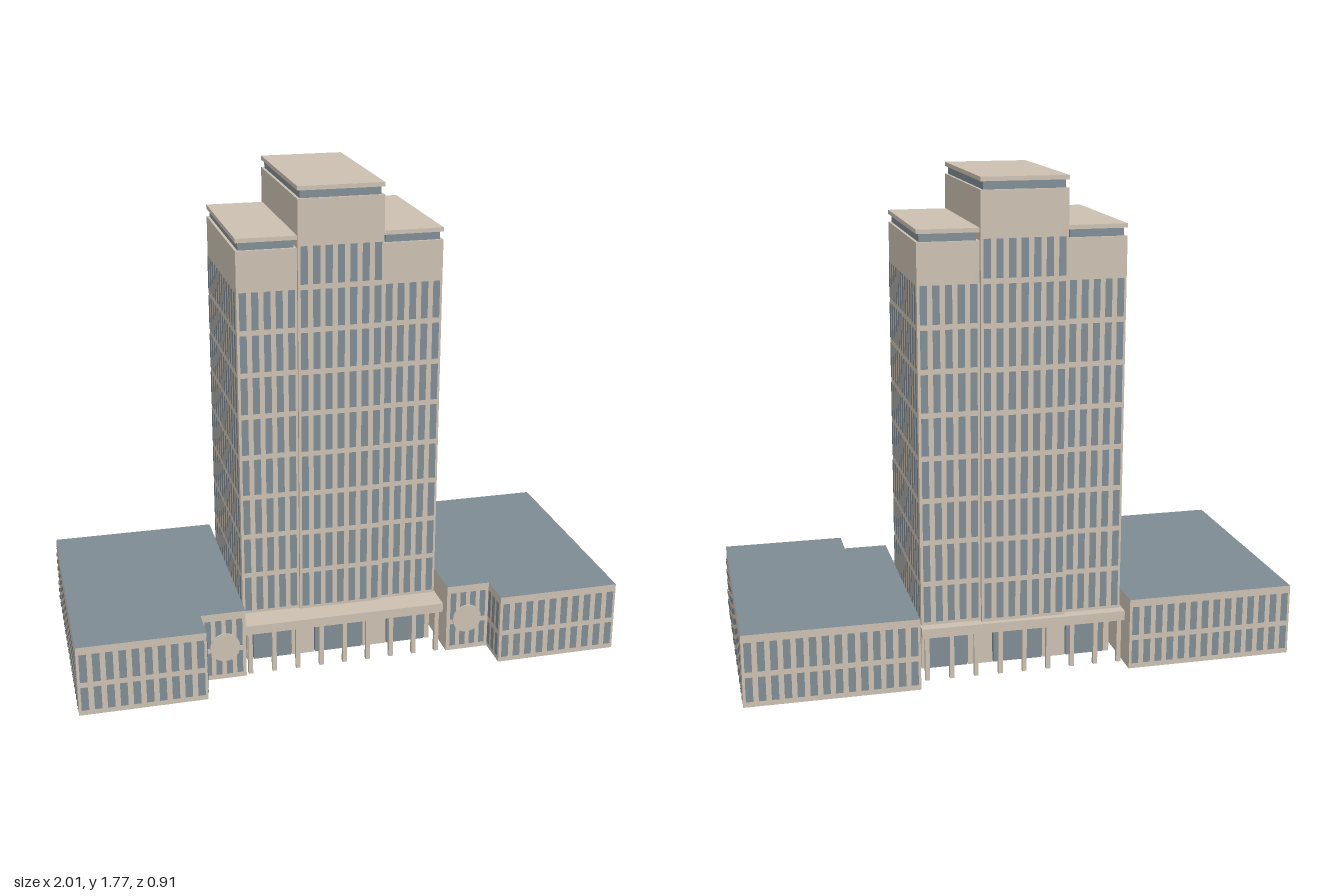
import * as THREE from 'three';
import { mergeGeometries } from 'three/addons/utils/BufferGeometryUtils.js';

const stone = new THREE.MeshStandardMaterial({ color: 0xcbc0b1, side: THREE.DoubleSide });
stone.name = 'warm stone';
const slate = new THREE.MeshStandardMaterial({ color: 0x7f8b94, side: THREE.DoubleSide });
slate.name = 'slate glass';

function add(parent, name, geometry, material) {
  const mesh = new THREE.Mesh(geometry, material);
  mesh.name = name;
  parent.add(mesh);
  return mesh;
}

// Box given by its extents
function block(parent, name, material, [x0, x1], [y0, y1], [z0, z1]) {
  const g = new THREE.BoxGeometry(x1 - x0, y1 - y0, z1 - z0);
  g.translate((x0 + x1) / 2, (y0 + y1) / 2, (z0 + z1) / 2);
  return add(parent, name, g, material);
}

// Upright panel between two plan points [x, z]; it faces out of a front, +x, back, -x loop
function panel(a, b, y0, y1, offset = 0) {
  const dx = b[0] - a[0], dz = b[1] - a[1], len = Math.hypot(dx, dz);
  const nx = -dz / len, nz = dx / len;
  const g = new THREE.PlaneGeometry(len, y1 - y0);
  g.rotateY(Math.atan2(nx, nz));
  g.translate((a[0] + b[0]) / 2 + nx * offset, (y0 + y1) / 2, (a[1] + b[1]) / 2 + nz * offset);
  return g;
}

// Grid of window panes on one wall; rows is a list of [bottom, top]
function windows(parent, name, a, b, cols, rows, fill = 0.58) {
  const at = (t) => [a[0] + (b[0] - a[0]) * t, a[1] + (b[1] - a[1]) * t];
  const panes = [];
  for (const [y0, y1] of rows) {
    for (let i = 0; i < cols; i++) {
      const t = (i + 0.5) / cols, h = fill / cols / 2;
      panes.push(panel(at(t - h), at(t + h), y0, y1, 0.003));
    }
  }
  add(parent, name, mergeGeometries(panes), slate);
}

// Walls around a plan outline, open at top and bottom
function walls(parent, name, material, pts, y0, y1) {
  const sides = pts.map((p, i) => panel(p, pts[(i + 1) % pts.length], y0, y1));
  add(parent, name, mergeGeometries(sides), material);
}

const rect = (x0, x1, z0, z1) => [[x0, z1], [x1, z1], [x1, z0], [x0, z0]];

// Tower block with a recessed dark band and a flat cap
function towerBlock(parent, name, x, z, top) {
  const inset = ([a, b]) => [a + 0.01, b - 0.01];
  block(parent, name + 'Body', stone, x, [0.2, top], z);
  block(parent, name + 'Band', slate, inset(x), [top, top + 0.03], inset(z));
  block(parent, name + 'Cap', stone, x, [top + 0.028, top + 0.043], z);
}

function buildTower() {
  const tower = new THREE.Group();
  tower.name = 'tower';
  const floors = (n) => Array.from({ length: n }, (_, i) => [0.212 + 0.153 * i, 0.346 + 0.153 * i]);
  const left = -0.373, right = 0.362, c0 = -0.16, c1 = 0.146;
  const sz = [-0.354, 0.222], cz = [-0.37, 0.233];

  towerBlock(tower, 'rightShoulder', [left, c0], sz, 1.562);
  towerBlock(tower, 'leftShoulder', [c1, right], sz, 1.562);
  towerBlock(tower, 'core', [c0, c1], cz, 1.732);

  for (const [x0, x1] of [[left, c0], [c1, right]]) {
    windows(tower, 'shoulderFrontWindows', [x0, sz[1]], [x1, sz[1]], 5, floors(8));
    windows(tower, 'shoulderBackWindows', [x1, sz[0]], [x0, sz[0]], 5, floors(8));
  }
  windows(tower, 'coreFrontWindows', [c0, cz[1]], [c1, cz[1]], 7, floors(9));
  windows(tower, 'coreBackWindows', [c1, cz[0]], [c0, cz[0]], 7, floors(9));
  windows(tower, 'leftSideWindows', [right, sz[1]], [right, sz[0]], 12, floors(8));
  windows(tower, 'rightSideWindows', [left, sz[0]], [left, sz[1]], 12, floors(8));
  return tower;
}

function buildGroundFloor() {
  const base = new THREE.Group();
  base.name = 'groundFloor';
  block(base, 'canopy', stone, [-0.383, 0.366], [0.165, 0.2], [-0.392, 0.322]);

  // Glazed halls alternating with stone piers
  const edges = [-0.36, -0.335, -0.19, -0.1, 0.085, 0.18, 0.33, 0.352];
  for (let i = 0; i < edges.length - 1; i++) {
    const glazed = i % 2 === 1;
    walls(base, glazed ? 'glassHall' : 'pier', glazed ? slate : stone,
      rect(edges[i] + 0.002, edges[i + 1] - 0.002, -0.28, 0.21), 0, 0.165);
  }

  // Slim columns along the front and back of the canopy
  for (const z of [0.305, -0.375]) {
    for (let i = 0; i < 9; i++) {
      const x = -0.364 + i * 0.0888;
      block(base, 'column', stone, [x - 0.008, x + 0.008], [0, 0.166], [z - 0.008, z + 0.008]);
    }
  }
  return base;
}

// Low wing with a stepped front; s is the side, +1 or -1
function buildWing(s) {
  const wing = new THREE.Group();
  wing.name = s > 0 ? 'leftWing' : 'rightWing';
  const inner = 0.382, step = 0.545, top = 0.265, front = 0.45, back = -0.45, recess = 0.322;
  const rows = [[0.02, 0.11], [0.13, 0.238]];
  const mirror = (pts) => (s > 0 ? pts : pts.map(([x, z]) => [-x, z]).reverse());
  const outline = mirror([[inner, recess], [step, recess], [step, front], [1, front], [1, back], [inner, back]]);
  walls(wing, 'wingWalls', stone, outline, 0, top);

  const shape = new THREE.Shape(outline.map(([x, z]) => new THREE.Vector2(x, -z)));
  const roof = new THREE.ShapeGeometry(shape);
  roof.rotateX(-Math.PI / 2);
  roof.translate(0, top, 0);
  add(wing, 'wingRoof', roof, slate);

  const glaze = (name, a, b, cols) => windows(wing, name, ...mirror([a, b]), cols, rows);
  glaze('frontWindows', [step, front], [1, front], 10);
  glaze('recessWindows', [inner + 0.005, recess], [step - 0.005, recess], 4);
  glaze('stepWindows', [step, recess], [step, front], 3);
  glaze('sideWindows', [1, front], [1, back], 19);
  glaze('backWindows', [1, back], [inner, back], 14);

  // Round plaque on the recessed front
  const disc = new THREE.CylinderGeometry(0.055, 0.055, 0.008, 24);
  disc.rotateX(Math.PI / 2);
  disc.translate(s * 0.46, 0.13, recess + 0.005);
  add(wing, 'roundPlaque', disc, stone);
  return wing;
}

export function createModel() {
  const model = new THREE.Group();
  model.name = 'officeTower';
  model.add(buildTower(), buildGroundFloor(), buildWing(1), buildWing(-1));
  return model;
}
